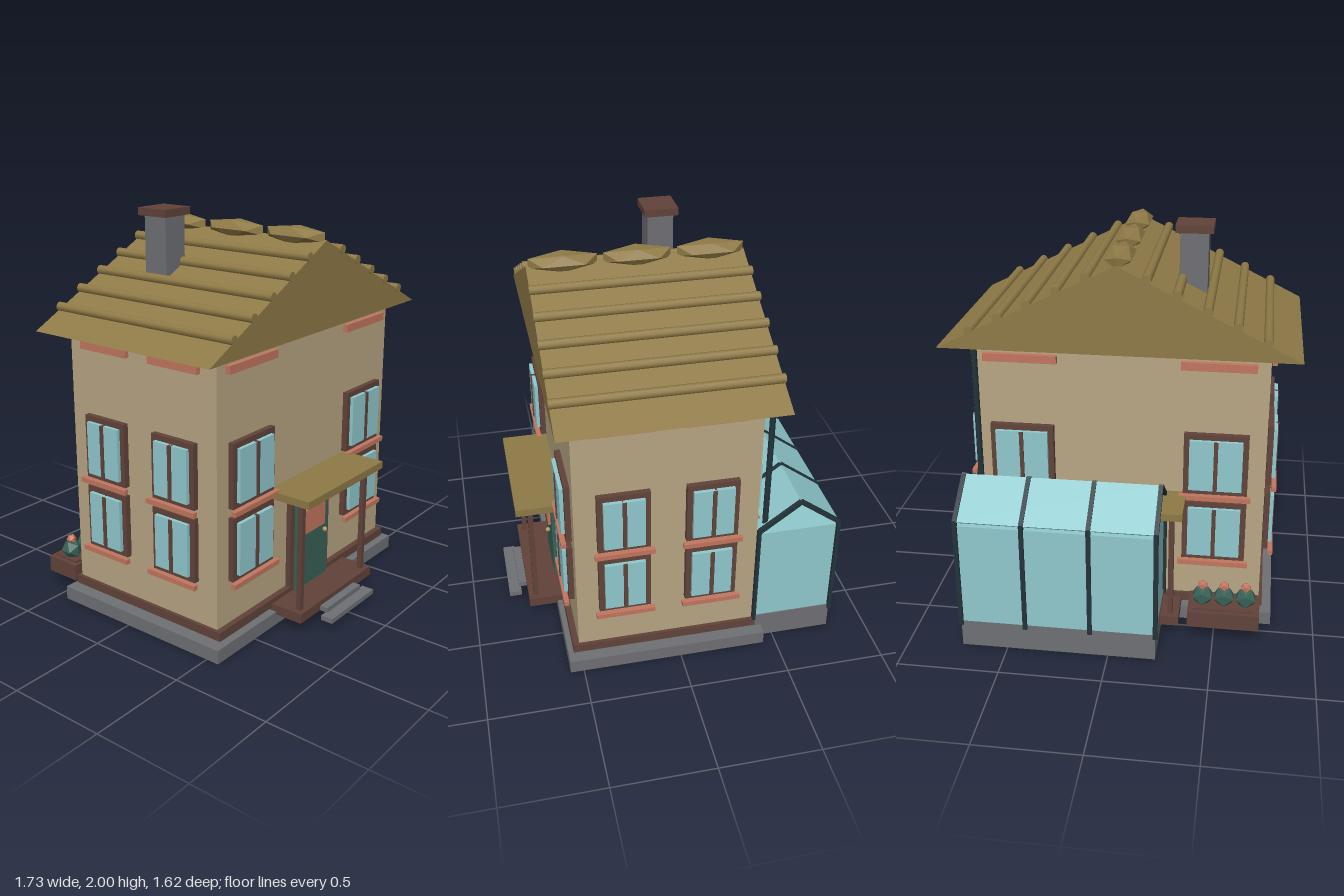
import * as THREE from 'three';

const mat = (name, color) => Object.assign(new THREE.MeshStandardMaterial({ color }), { name });
const M = {
  wall: mat('plaster', 0xb8a684),
  roof: mat('roofing', 0x8f7a47),
  wood: mat('dark wood', 0x61433a),
  brick: mat('terracotta', 0xc2765f),
  glass: mat('glass', 0x90c9ce),
  green: mat('leaf green', 0x386156),
  stone: mat('stone', 0x6f7074),
  metal: mat('dark metal', 0x23343a),
  brass: mat('brass', 0xb59a6a),
};

function add(parent, name, geometry, material) {
  const mesh = new THREE.Mesh(geometry, material);
  mesh.name = name;
  parent.add(mesh);
  return mesh;
}

// Box given by its extents along each axis
function box(parent, name, material, [x0, x1], [y0, y1], [z0, z1]) {
  const mesh = add(parent, name, new THREE.BoxGeometry(x1 - x0, y1 - y0, z1 - z0), material);
  mesh.position.set((x0 + x1) / 2, (y0 + y1) / 2, (z0 + z1) / 2);
  return mesh;
}

function group(parent, name) {
  const g = new THREE.Group();
  g.name = name;
  parent.add(g);
  return g;
}

// Bar or pane in the yz plane between two points [y, z]
function slope(parent, name, material, x, width, thick, [ya, za], [yb, zb]) {
  const geo = new THREE.BoxGeometry(width, thick, Math.hypot(yb - ya, zb - za));
  const mesh = add(parent, name, geo, material);
  mesh.position.set(x, (ya + yb) / 2, (za + zb) / 2);
  mesh.rotation.x = -Math.atan2(yb - ya, zb - za);
  return mesh;
}

// Window facing +z, standing on a wall at z = 0
function addWindow(parent, x, y, w) {
  const g = group(parent, 'window');
  g.position.set(x, y, 0);
  const h = 0.16, r = w / 2;
  box(g, 'windowFrame', M.wood, [-r, r], [-h, h], [0, 0.028]);
  box(g, 'windowPane', M.glass, [-r + 0.028, r - 0.028], [-h + 0.028, h - 0.028], [0.028, 0.047]);
  box(g, 'mullion', M.wood, [-0.01, 0.01], [-h + 0.028, h - 0.028], [0.028, 0.053]);
  box(g, 'windowSill', M.brick, [-r - 0.018, r + 0.018], [-h - 0.025, -h], [0.03, 0.055]);
}

// Windows on two floors with a lintel band under the eaves
function addFacade(parent, name, xs, w, bandW) {
  const g = group(parent, name);
  for (const x of xs) {
    for (const y of [0.51, 0.875]) addWindow(g, x, y, w);
    box(g, 'eaveBand', M.brick, [x - bandW / 2, x + bandW / 2], [1.36, 1.4], [0, 0.025]);
  }
  return g;
}

// Door with deck, posts, canopy and steps, facing +z
function addPorch(parent) {
  const g = group(parent, 'porch');
  box(g, 'doorFrame', M.wood, [-0.17, 0.17], [0.105, 0.655], [0, 0.028]);
  box(g, 'door', M.green, [-0.138, 0.138], [0.105, 0.615], [0.028, 0.045]);
  box(g, 'doorPanel', M.brick, [-0.09, 0.09], [0.4, 0.525], [0.045, 0.06]);
  const knob = add(g, 'doorKnob', new THREE.SphereGeometry(0.013, 8, 6), M.brass);
  knob.position.set(0.087, 0.368, 0.062);
  box(g, 'canopy', M.roof, [-0.337, 0.337], [0.67, 0.708], [0, 0.24]);
  box(g, 'deck', M.wood, [-0.325, 0.325], [0.055, 0.105], [0, 0.203]);
  for (const s of [-1, 1]) {
    const post = add(g, 'porchPost', new THREE.BoxGeometry(0.026, 0.57, 0.026), M.wood);
    post.position.set(s * 0.281, 0.387, 0.165);
  }
  box(g, 'upperStep', M.stone, [-0.155, 0.155], [0.055, 0.08], [0.19, 0.245]);
  box(g, 'lowerStep', M.stone, [-0.195, 0.195], [0.03, 0.055], [0.235, 0.3]);
}

function addRoof(parent) {
  const g = group(parent, 'roof');
  const halfW = 0.865, eave = 1.44, rise = 0.428;
  const gable = new THREE.Shape([
    new THREE.Vector2(-halfW, eave), new THREE.Vector2(halfW, eave), new THREE.Vector2(0, eave + rise),
  ]);
  const body = add(g, 'gableRoof', new THREE.ExtrudeGeometry(gable, { depth: 1.06, bevelEnabled: false }), M.roof);
  body.position.z = -0.47;
  // Round battens running front to back
  const batten = new THREE.CylinderGeometry(0.023, 0.023, 1.07, 10).rotateX(Math.PI / 2);
  for (let i = 1; i <= 5; i++) {
    for (const s of [-1, 1]) {
      const x = i * 0.14;
      add(g, 'batten', batten, M.roof)
        .position.set(s * x, eave + rise * (1 - x / halfW) + 0.01, 0.06);
    }
  }
  // Faceted ridge caps
  const cap = new THREE.IcosahedronGeometry(1, 0);
  for (const z of [-0.302, 0.058, 0.415]) {
    const mesh = add(g, 'ridgeCap', cap, M.roof);
    mesh.scale.set(0.074, 0.048, 0.193);
    mesh.position.set(0, 1.878, z);
  }
  box(g, 'chimney', M.stone, [-0.4, -0.265], [1.56, 1.965], [-0.182, -0.05]);
  box(g, 'chimneyCap', M.wood, [-0.423, -0.243], [1.963, 2], [-0.203, -0.032]);
}

function addGreenhouse(parent) {
  const g = group(parent, 'greenhouse');
  const near = -0.395, far = -0.803, mid = -0.599, eave = 0.69, peak = 0.842;
  const x0 = -0.232, x1 = 0.727;
  box(g, 'greenhouseBase', M.stone, [x0, x1], [0, 0.14], [far, near]);
  box(g, 'greenhouseWalls', M.glass, [x0 + 0.005, x1 - 0.005], [0.14, 0.67], [far, near]);
  for (const z of [near, far]) {
    slope(g, 'greenhouseRoofPane', M.glass, (x0 + x1) / 2, x1 - x0, 0.008, [eave, z], [peak, mid]);
  }
  for (let i = 0; i < 4; i++) {
    const x = x0 + (x1 - x0) * i / 3;
    for (const z of [near, far]) {
      box(g, 'greenhousePost', M.metal, [x - 0.011, x + 0.011], [0.12, eave + 0.005], [z - 0.009, z + 0.009]);
      slope(g, 'rafter', M.metal, x, 0.022, 0.02, [eave, z], [peak, mid]);
    }
  }
}

function addPlanter(parent) {
  const g = group(parent, 'planter');
  box(g, 'planterBox', M.wood, [-0.725, -0.37], [0.08, 0.165], [-0.622, -0.43]);
  box(g, 'planterSoil', M.wood, [-0.7, -0.395], [0.165, 0.175], [-0.6, -0.45]);
  const leaf = new THREE.IcosahedronGeometry(0.056, 0);
  const bloom = new THREE.IcosahedronGeometry(0.027, 0);
  for (const x of [-0.655, -0.547, -0.44]) {
    add(g, 'foliage', leaf, M.green).position.set(x, 0.208, -0.525);
    add(g, 'flower', bloom, M.brick).position.set(x, 0.265, -0.525);
  }
}

export function createModel() {
  const house = new THREE.Group();
  house.name = 'house';
  const front = 0.512, back = -0.385, side = 0.72;

  // Foundation and walls
  box(house, 'foundation', M.stone, [-0.785, 0.785], [0, 0.07], [-0.437, 0.568]);
  box(house, 'walls', M.wall, [-side, side], [0.085, 1.442], [back, front]);
  box(house, 'baseTrim', M.wood, [-0.737, 0.737], [0.085, 0.13], [back - 0.016, front + 0.03]);

  // Facades on all four sides
  const f = addFacade(house, 'frontFacade', [-0.478, 0.478], 0.315, 0.36);
  f.position.z = front;
  const b = addFacade(house, 'backFacade', [-0.478, 0.478], 0.315, 0.36);
  b.position.z = back;
  b.rotation.y = Math.PI;
  for (const g of [f, b]) addPorch(g);
  for (const s of [-1, 1]) {
    const g = addFacade(house, 'sideFacade', [-s * 0.278, s * 0.15], 0.255, 0.29);
    g.position.x = s * (side + 0.004);
    g.rotation.y = s * Math.PI / 2;
  }

  addRoof(house);
  addGreenhouse(house);
  addPlanter(house);

  // Rainwater pipe at the back corner
  const pipe = add(house, 'downpipe', new THREE.CylinderGeometry(0.015, 0.015, 1.34, 8), M.metal);
  pipe.position.set(0.69, 0.78, -0.434);
  for (const mesh of [M.roof, M.green, M.brick]) mesh.flatShading = false;
  return house;
}
